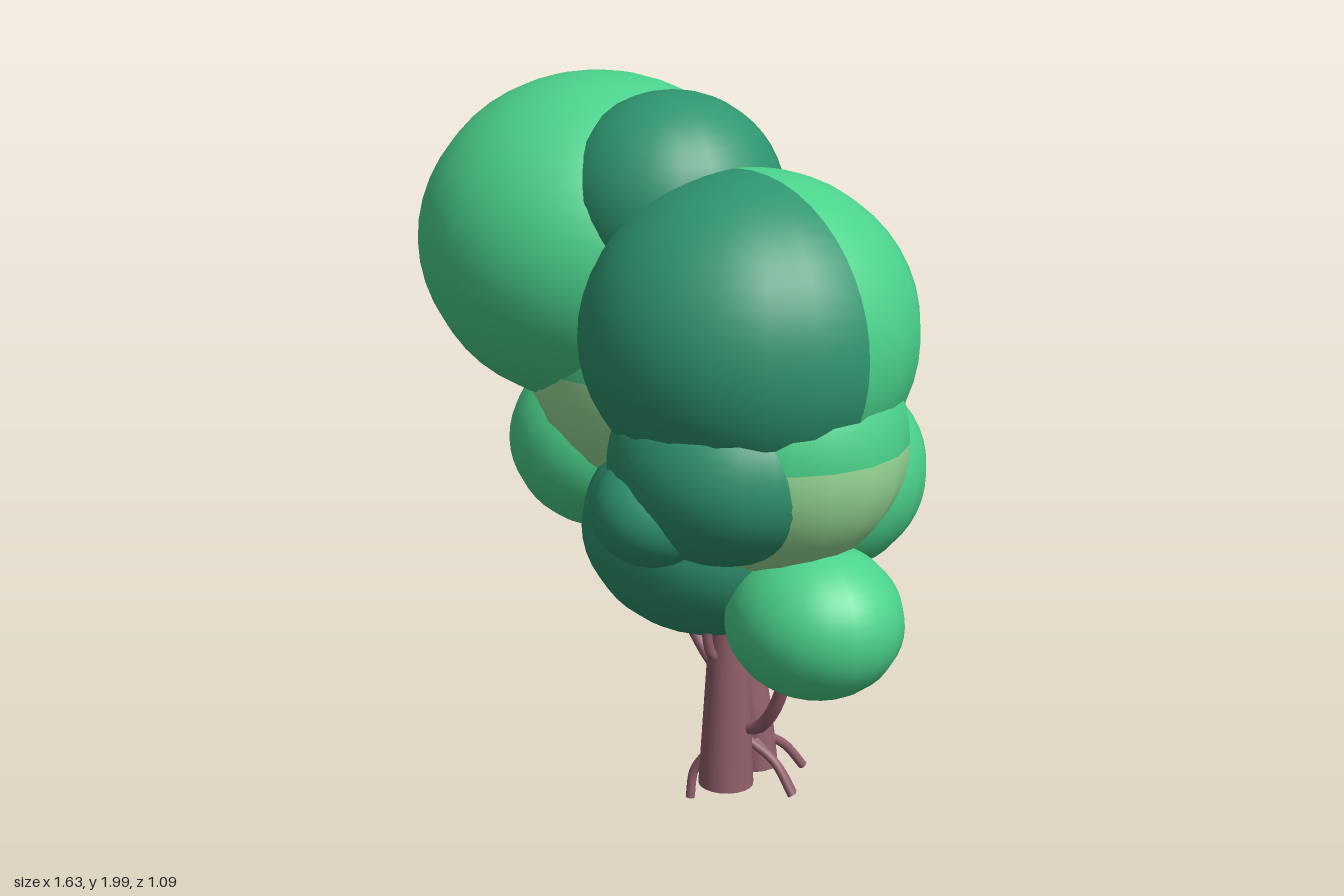
import * as THREE from 'three';

const mat = (name, color, extra = {}) => {
  const m = new THREE.MeshStandardMaterial({ color, ...extra });
  m.name = name;
  return m;
};

export function createModel() {
  const tree = new THREE.Group();
  tree.name = 'tree';
  const light = mat('light green leaves', 0x4bd38c);
  const dark = mat('dark green leaves', 0x2f9670);
  const pale = mat('pale green leaves', 0x9bdf9b);
  const bark = mat('bark', 0x92606b, { side: THREE.DoubleSide });

  const add = (name, geo, material) => {
    const mesh = new THREE.Mesh(geo, material);
    mesh.name = name;
    tree.add(mesh);
    return mesh;
  };

  // One ellipsoid of leaves, or a section of one
  const puff = (name, material, pos, radii, phi = [0, Math.PI * 2], theta = [0, Math.PI]) => {
    const cols = phi[1] < 4 ? 10 : 20;
    const rows = theta[1] < 2 ? 12 : 24;
    const geo = new THREE.SphereGeometry(1, cols, rows, phi[0], phi[1], theta[0], theta[1]);
    const mesh = add(name, geo, material);
    mesh.scale.set(...radii);
    mesh.position.set(...pos);
  };

  // Single-colour foliage
  puff('crownLargeLeaves', light, [-0.32, 1.54, 0.04], [0.5, 0.46, 0.5]);
  puff('crownTopLeaves', dark, [0, 1.69, 0.045], [0.3, 0.3, 0.31]);
  puff('frontLeaves', dark, [0.375, 1.085, 0.2], [0.32, 0.27, 0.295]);
  puff('frontSmallLeaves', dark, [0.293, 0.97, 0.37], [0.163, 0.15, 0.165]);
  puff('backSideLeaves', light, [0.38, 0.99, -0.15], [0.28, 0.28, 0.3]);
  puff('lowSideLeaves', light, [0.565, 0.66, 0.045], [0.25, 0.21, 0.23]);
  puff('lowMiddleLeaves', dark, [0.15, 0.82, 0.045], [0.365, 0.3, 0.34]);
  puff('lowRightLeaves', light, [-0.285, 0.97, 0.04], [0.28, 0.26, 0.28]);

  // Foliage split front and back
  const full = Math.PI * 2, half = Math.PI;
  const cPos = [0.33, 1.4, 0.065], cR = [0.44, 0.43, 0.46];
  puff('crownSideFrontLeaves', dark, cPos, cR, [0, half]);
  puff('crownSideBackLeaves', light, cPos, cR, [half, half]);

  // Foliage split above and below
  for (const [name, pos, r] of [
    ['backLargeLeaves', [-0.11, 1.23, -0.1], [0.45, 0.42, 0.445]],
    ['sideLeaves', [0.38, 1.13, 0.04], [0.385, 0.37, 0.36]],
  ]) {
    puff(name + 'Upper', light, pos, r, [0, full], [0, half / 2]);
    puff(name + 'Lower', pale, pos, r, [0, full], [half / 2, half / 2]);
  }

  // Tapered straight trunk
  const trunk = add('frontTrunk', new THREE.CylinderGeometry(0.05, 0.077, 0.55, 20), bark);
  trunk.position.set(0.275, 0.375, 0.087);
  trunk.rotation.z = -0.02;

  // Bent trunk, branches and roots as capped tubes
  const limb = (name, r, points) => {
    const path = new THREE.CatmullRomCurve3(points.map((p) => new THREE.Vector3(...p)));
    add(name, new THREE.TubeGeometry(path, 14, r, 12), bark);
    for (const [t, sign] of [[0, -1], [1, 1]]) {
      const cap = add(name + 'End', new THREE.CircleGeometry(r, 12), bark);
      cap.position.copy(path.getPoint(t));
      const out = path.getTangent(t).multiplyScalar(sign);
      cap.quaternion.setFromUnitVectors(new THREE.Vector3(0, 0, 1), out);
    }
  };

  limb('backTrunk', 0.056, [[0.25, 0.1, -0.055], [0.23, 0.25, -0.05], [0.203, 0.42, -0.04], [0.2, 0.62, -0.03]]);

  limb('rightBranch', 0.019, [[0.2, 0.35, -0.02], [0.13, 0.37, -0.01], [0.06, 0.44, 0], [0.02, 0.54, 0.02], [0.03, 0.65, 0.03]]);
  limb('leftBranch', 0.019, [[0.3, 0.27, 0.06], [0.37, 0.29, 0.06], [0.43, 0.36, 0.06], [0.47, 0.46, 0.06], [0.48, 0.58, 0.06]]);
  limb('frontBranch', 0.014, [[0.28, 0.48, 0.1], [0.28, 0.5, 0.15], [0.285, 0.62, 0.18]]);

  const roots = [
    [[0.22, 0.24, 0.05], [0.18, 0.16, 0.07], [0.14, 0.09, 0.09], [0.135, 0.01, 0.1]],
    [[0.22, 0.21, -0.02], [0.16, 0.15, -0.04], [0.125, 0.08, -0.06]],
    [[0.3, 0.22, 0.03], [0.37, 0.17, 0.0], [0.425, 0.08, -0.02]],
    [[0.28, 0.2, -0.01], [0.35, 0.13, -0.04], [0.385, 0.06, -0.06]],
    [[0.27, 0.2, -0.06], [0.28, 0.15, -0.13], [0.3, 0.08, -0.18]],
    [[0.24, 0.18, 0.02], [0.21, 0.12, 0.01], [0.21, 0.07, 0]],
  ];
  roots.forEach((points, i) => limb('root' + (i + 1), 0.013, points));

  return tree;
}
